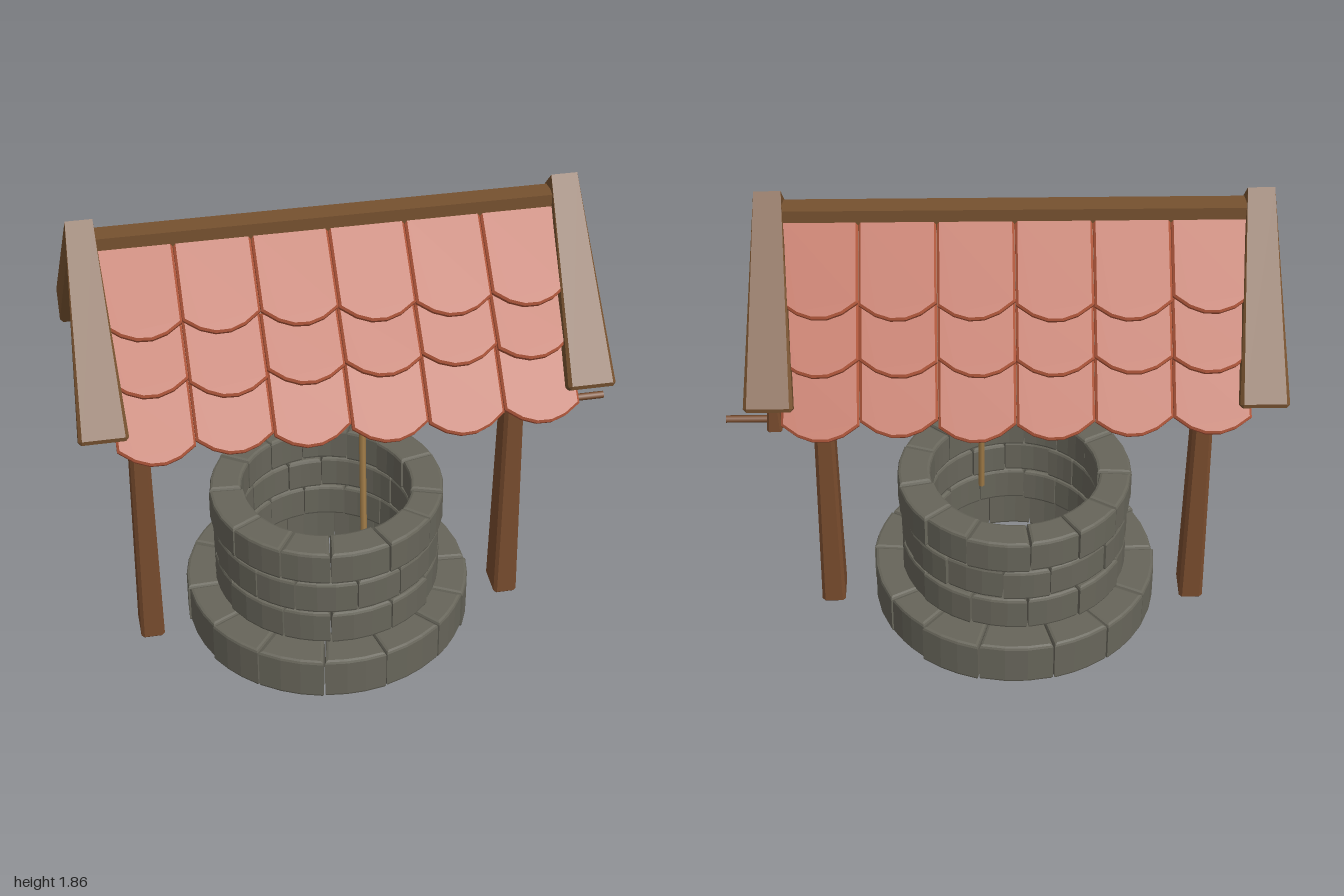
import * as THREE from 'three';
import { ConvexGeometry } from 'three/addons/geometries/ConvexGeometry.js';

const mat = (name, color) => {
  const m = new THREE.MeshStandardMaterial({ color });
  m.name = name;
  return m;
};

export function createModel() {
  const model = new THREE.Group();
  model.name = 'well';
  const stone = mat('stone', 0x67655a);
  const postWood = mat('post wood', 0x774b2d);
  const roofWood = mat('roof wood', 0x76512f);
  const clay = mat('clay tile', 0xb0573b);
  const hemp = mat('rope', 0xa17c48);
  const metal = mat('metal', 0x6c7472);

  let seed = 7;
  const rand = (a) => {
    seed = (seed * 16807) % 2147483647;
    return (seed / 2147483647 * 2 - 1) * a;
  };
  const add = (parent, name, geometry, material) => {
    const mesh = new THREE.Mesh(geometry, material);
    mesh.name = name;
    parent.add(mesh);
    return mesh;
  };

  // Four corners of a beam's end
  const rectY = (x, hx, y, z, hz) => [[x - hx, y, z - hz], [x + hx, y, z - hz], [x + hx, y, z + hz], [x - hx, y, z + hz]];
  // Beam between two four-cornered ends, with chamfered edges
  const beam = (endA, endB, cA, cB = cA) => {
    const ends = [endA, endB].map((e) => e.map((p) => new THREE.Vector3(...p)));
    const points = [];
    ends.forEach((end, k) => end.forEach((p, i) => {
      const c = k ? cB : cA;
      if (!c) { points.push(p); return; }
      const d = [end[(i + 1) % 4], end[(i + 3) % 4], ends[1 - k][i]].map((q) => q.clone().sub(p).setLength(c));
      for (let j = 0; j < 3; j++) points.push(p.clone().add(d[j]).add(d[(j + 1) % 3]));
    }));
    return new ConvexGeometry(points);
  };

  // Stone rings: inner radius, outer radius, bottom, top, brick count
  const wall = new THREE.Group();
  wall.name = 'stoneWall';
  wall.position.x = -0.075;
  model.add(wall);
  const rings = [
    [0.375, 0.545, 0.02, 0.195, 14],
    [0.325, 0.44, 0.197, 0.337, 13],
    [0.325, 0.435, 0.34, 0.476, 13],
    [0.32, 0.443, 0.482, 0.62, 13],
  ];
  rings.forEach(([r0, r1, y0, y1, count], row) => {
    const step = Math.PI * 2 / count;
    const cuts = [];
    for (let i = 0; i < count; i++) cuts.push((i + row * 0.47) * step + rand(step * 0.16));
    cuts.push(cuts[0] + Math.PI * 2);
    const b = 0.012;
    for (let i = 0; i < count; i++) {
      const outer = r1 - b + rand(0.006);
      const inner = r0 + b + rand(0.006);
      const gapO = (b + 0.002) / outer;
      const gapI = (b + 0.002) / inner;
      const shape = new THREE.Shape();
      const n = 3;
      for (let j = 0; j <= n; j++) {
        const a = THREE.MathUtils.lerp(cuts[i] + gapO, cuts[i + 1] - gapO, j / n);
        const p = [Math.cos(a) * outer, Math.sin(a) * outer];
        if (j) shape.lineTo(...p); else shape.moveTo(...p);
      }
      for (let j = n; j >= 0; j--) {
        const a = THREE.MathUtils.lerp(cuts[i] + gapI, cuts[i + 1] - gapI, j / n);
        shape.lineTo(Math.cos(a) * inner, Math.sin(a) * inner);
      }
      shape.closePath();
      const g = new THREE.ExtrudeGeometry(shape, {
        depth: y1 - y0 - 2 * b + rand(0.003), bevelSize: b, bevelThickness: b, bevelSegments: 2, steps: 1,
      });
      g.rotateX(-Math.PI / 2).translate(0, y0 + b, 0);
      add(wall, 'brick', g, stone);
    }
  });

  // Posts
  for (const [name, x] of [['rightPost', -0.775], ['leftPost', 0.637]]) {
    add(model, name, beam(rectY(x, 0.046, 0, 0, 0.072), rectY(x, 0.03, 1.545, 0, 0.042), 0.012, 0.014), postWood);
  }

  // Roof, with each slope built once facing front and once turned to the back
  const roof = new THREE.Group();
  roof.name = 'roof';
  roof.position.set(-0.068, 0, -0.005);
  model.add(roof);
  add(roof, 'ridgeBeam', new THREE.BoxGeometry(1.64, 0.08, 0.08).translate(0, 1.762, 0), roofWood);

  // Tile rows: top edge z, y and bottom edge z, y of the upper face
  const rows = [[0.03, 1.765, 0.29, 1.525], [0.21, 1.54, 0.405, 1.37], [0.32, 1.4, 0.53, 1.185]];
  const t = 0.035;
  for (const side of [0, 1]) {
    const slope = new THREE.Group();
    slope.name = side ? 'backSlope' : 'frontSlope';
    slope.rotation.y = side * Math.PI;
    roof.add(slope);

    // Barge boards flare towards the eaves
    for (const s of [-1, 1]) {
      const x = s * 0.85;
      const low = [[x - 0.086, 1.2, 0.385], [x + 0.086, 1.2, 0.385], [x + 0.086, 1.288, 0.503], [x - 0.086, 1.288, 0.503]];
      const top = [[x - 0.047, 1.74, 0], [x + 0.047, 1.74, 0], [x + 0.047, 1.86, 0], [x - 0.047, 1.86, 0]];
      add(slope, 'bargeBoard', beam(low, top, 0.012, 0), roofWood);
    }

    // Deck under the tiles
    const deckLow = [[-0.8, 1.19, 0.42], [0.8, 1.19, 0.42], [0.8, 1.215, 0.44], [-0.8, 1.215, 0.44]];
    const deckTop = [[-0.8, 1.71, 0], [0.8, 1.71, 0], [0.8, 1.745, 0], [-0.8, 1.745, 0]];
    add(slope, 'deck', beam(deckLow, deckTop, 0), roofWood);

    // Round-ended tiles
    for (const [z0, y0, z1, y1] of rows) {
      const length = Math.hypot(z1 - z0, y0 - y1);
      const tilt = Math.atan2(z1 - z0, y0 - y1);
      for (let i = 0; i < 6; i++) {
        const b = 0.008;
        const w = 0.134 - b;
        const end = length - b + rand(0.014);
        const sag = 0.055;
        const skew = rand(0.008);
        const shape = new THREE.Shape();
        shape.moveTo(-w, 0);
        shape.lineTo(-w, -(end - sag + skew));
        shape.quadraticCurveTo(0, -(end + sag), w, -(end - sag - skew));
        shape.lineTo(w, 0);
        shape.closePath();
        const g = new THREE.ExtrudeGeometry(shape, {
          depth: t - 2 * b, bevelSize: b, bevelThickness: b, bevelSegments: 1, curveSegments: 5,
        });
        g.translate(0, 0, b - t);
        const tile = add(slope, 'tile', g, clay);
        tile.position.set((i - 2.5) * 0.27, y0, z0);
        tile.rotation.x = -tilt + rand(0.015);
      }
    }
  }

  // Windlass: parts along x given as name, start, end, radius, sides, material
  const axleY = 1.02;
  const windlass = new THREE.Group();
  windlass.name = 'windlass';
  windlass.position.y = axleY;
  model.add(windlass);
  const parts = [
    ['axle', -0.74, 0.74, 0.037, 8, postWood],
    ['drum', -0.225, 0.085, 0.055, 8, postWood],
    ['rightCollar', -0.745, -0.63, 0.052, 8, metal],
    ['leftCollar', 0.48, 0.66, 0.052, 8, metal],
    ['outerCollar', 0.66, 0.745, 0.048, 8, metal],
    ['crankHub', 0.74, 0.805, 0.034, 8, metal],
  ];
  for (const [name, x0, x1, r, sides, material] of parts) {
    const g = new THREE.CylinderGeometry(r, r, x1 - x0, sides).toNonIndexed();
    g.computeVertexNormals();
    g.rotateX(0).rotateY(Math.PI / sides).rotateZ(Math.PI / 2).translate((x0 + x1) / 2, 0, 0);
    add(windlass, name, g, material);
  }

  // Crank arm and handle
  add(windlass, 'crankArm', beam(rectY(0.82, 0.029, -0.19, -0.005, 0.036), rectY(0.822, 0.016, 0.03, -0.005, 0.028), 0.008), postWood);
  add(windlass, 'crankHandle', new THREE.CylinderGeometry(0.014, 0.014, 0.17, 8).rotateZ(Math.PI / 2).translate(0.915, -0.145, -0.008), postWood);

  // Rope wound on the drum, then hanging into the well
  const turns = 9.25;
  const path = [];
  for (let i = 0; i <= turns * 12; i++) {
    const a = i / 12 * Math.PI * 2;
    path.push(new THREE.Vector3(-0.185 + 0.235 * i / (turns * 12), Math.cos(a) * 0.06, Math.sin(a) * 0.06));
  }
  path.push(new THREE.Vector3(0.05, -0.2, 0.075), new THREE.Vector3(0.05, -0.57, 0.108));
  add(windlass, 'rope', new THREE.TubeGeometry(new THREE.CatmullRomCurve3(path), 340, 0.0125, 6), hemp);

  return model;
}
